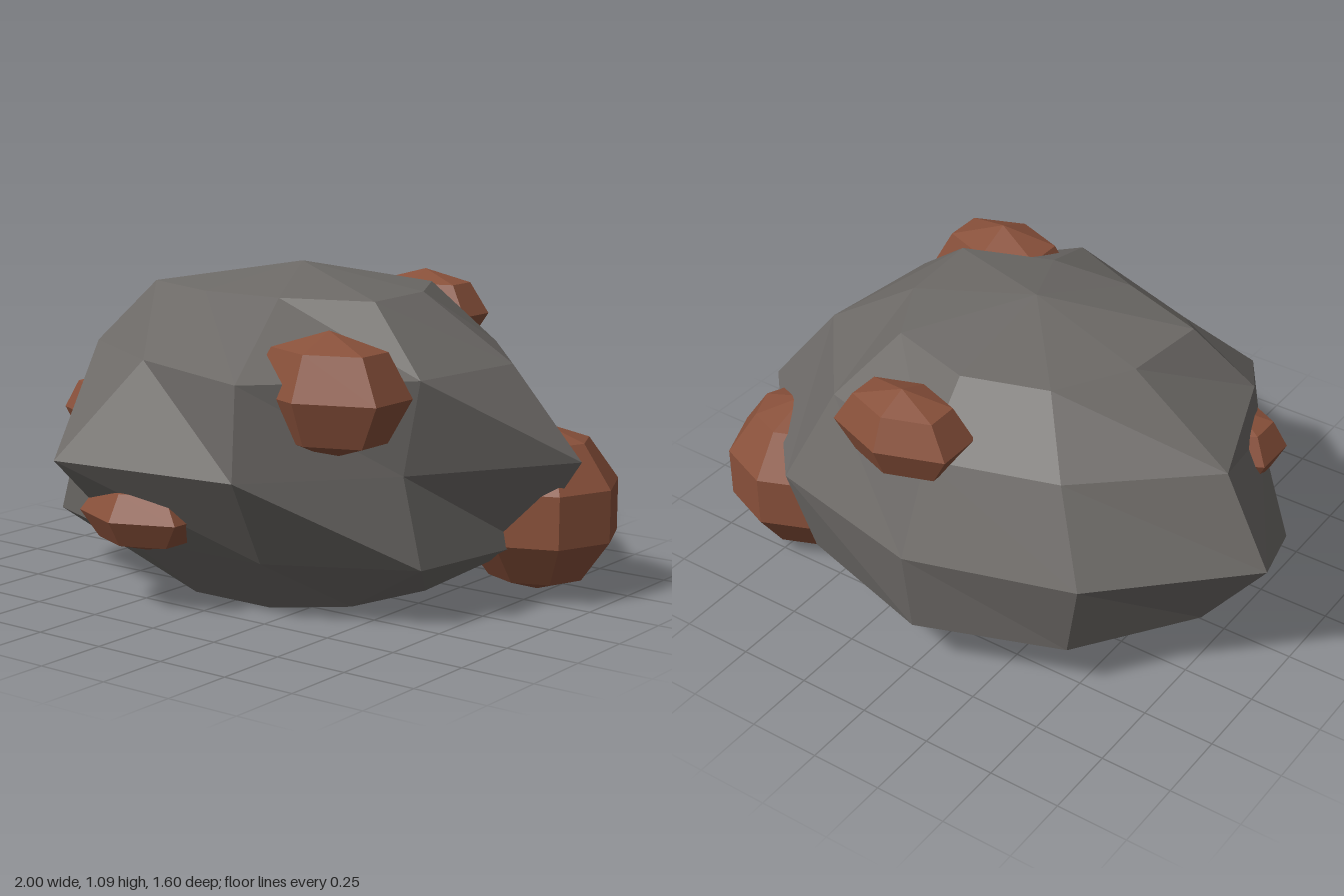
import * as THREE from 'three';

const rockMaterial = new THREE.MeshStandardMaterial({ color: 0x6c6966, flatShading: true, side: THREE.DoubleSide });
const oreMaterial = new THREE.MeshStandardMaterial({ color: 0x88503a, flatShading: true });

// Nine-sided rings from the ground up: height, then [x, z] corners every 40 degrees
const rings = [
  [0, [[0.35, 0.17], [0.15, 0.34], [-0.17, 0.34], [-0.4, 0.17], [-0.45, -0.13], [-0.29, -0.38], [-0.02, -0.47], [0.28, -0.38], [0.43, -0.14]]],
  [0.2, [[0.7, 0.28], [0.25, 0.52], [-0.3, 0.53], [-0.79, 0.33], [-0.77, -0.2], [-0.5, -0.58], [-0.02, -0.76], [0.5, -0.61], [0.78, -0.21]]],
  [0.5, [[0.65, 0.31], [0.3, 0.72], [-0.37, 0.8], [-0.62, 0.42], [-1, -0.21], [-0.57, -0.63], [-0.02, -0.8], [0.56, -0.67], [0.98, -0.21]]],
  [0.8, [[0.69, 0.28], [0.29, 0.69], [-0.25, 0.5], [-0.66, 0.27], [-0.83, -0.19], [-0.44, -0.53], [-0.02, -0.66], [0.44, -0.54], [0.74, -0.17]]],
  [1.01, [[0.43, 0.16], [0.13, 0.27], [-0.17, 0.28], [-0.48, 0.17], [-0.45, -0.13], [-0.3, -0.38], [-0.02, -0.47], [0.28, -0.38], [0.41, -0.14]]],
];

function boulderGeometry() {
  const n = 9;
  const positions = [];
  const index = [];
  for (const [y, corners] of rings) for (const [x, z] of corners) positions.push(x, y, z);
  const bottom = positions.length / 3;
  const top = bottom + 1;
  positions.push(-0.01, 0, -0.06, -0.02, 1.09, -0.05);
  const last = (rings.length - 1) * n;
  for (let i = 0; i < n; i++) {
    const j = (i + 1) % n;
    for (let r = 0; r < last; r += n) {
      index.push(r + i, r + n + j, r + j, r + i, r + n + i, r + n + j);
    }
    index.push(bottom, i, j, top, last + j, last + i);
  }
  const geometry = new THREE.BufferGeometry();
  geometry.setAttribute('position', new THREE.Float32BufferAttribute(positions, 3));
  geometry.setIndex(index);
  geometry.computeVertexNormals();
  return geometry;
}

// Faceted ore lump, turned so corners point along z
function oreLump(name, position, radii, sides = 6, rows = 4) {
  const geometry = new THREE.SphereGeometry(1, sides, rows);
  geometry.rotateY(Math.PI / 2);
  geometry.scale(...radii);
  const mesh = new THREE.Mesh(geometry, oreMaterial);
  mesh.name = name;
  mesh.position.set(...position);
  return mesh;
}

export function createModel() {
  const group = new THREE.Group();
  group.name = 'oreBoulder';

  const boulder = new THREE.Mesh(boulderGeometry(), rockMaterial);
  boulder.name = 'boulder';
  group.add(boulder);

  group.add(
    oreLump('backTopOre', [0.08, 0.865, -0.635], [0.25, 0.15, 0.155]),
    oreLump('frontTopOre', [0.46, 0.755, 0.44], [0.285, 0.2, 0.19]),
    oreLump('sideOre', [0.73, 0.295, -0.365], [0.285, 0.285, 0.28], 8, 5),
    oreLump('frontLowOre', [-0.165, 0.32, 0.6], [0.235, 0.12, 0.17]),
    oreLump('rightOre', [-0.61, 0.565, 0.26], [0.175, 0.13, 0.15]),
  );
  return group;
}
